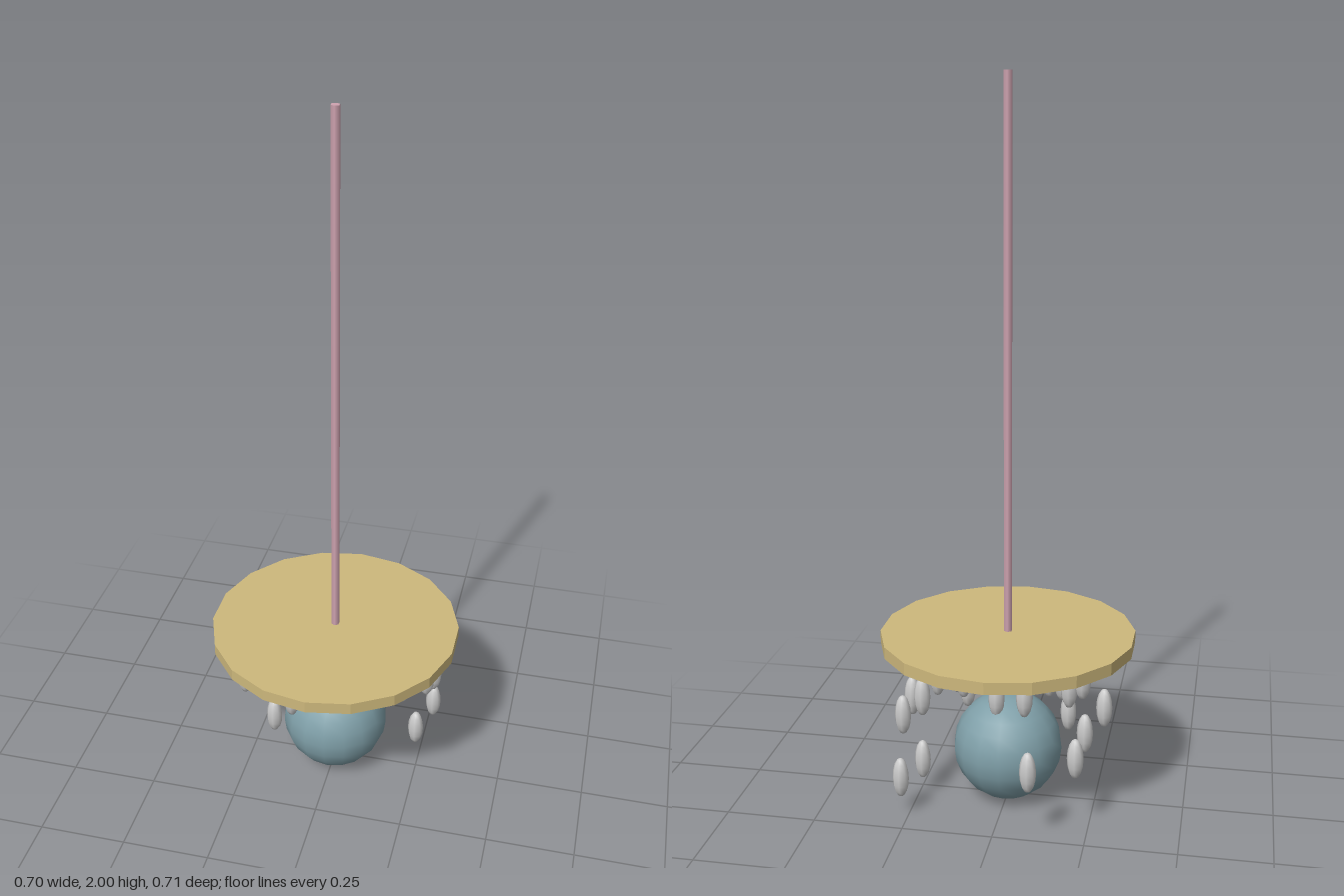
import * as THREE from 'three';

export function createModel() {
  const model = new THREE.Group();
  const material = (color, flatShading = false) => new THREE.MeshStandardMaterial({ color, flatShading });

  function add(name, geometry, mat, x, y, z, parent = model) {
    const mesh = new THREE.Mesh(geometry, mat);
    mesh.name = name;
    mesh.position.set(x, y, z);
    parent.add(mesh);
    return mesh;
  }

  // Hanging rod with the thin cable below it
  const pink = material(0xcfa3b0);
  add('rod', new THREE.CylinderGeometry(0.012, 0.012, 1.55, 6), pink, 0, 1.225, 0);
  add('cable', new THREE.CylinderGeometry(0.005, 0.005, 0.17, 6), pink, 0, 0.375, 0);

  // Canopy disc
  add('canopy', new THREE.CylinderGeometry(0.355, 0.355, 0.034, 18), material(0xcdb87c, true), 0, 0.481, 0);

  // Globe
  add('globe', new THREE.SphereGeometry(0.154, 16, 12), material(0x7f9fa8), 0, 0.154, 0);

  // Drop pendants scattered around the globe: x, y, z of each centre
  const drops = [
    [-0.23, 0.44, -0.16], [-0.195, 0.415, -0.165], [-0.08, 0.394, -0.2], [-0.016, 0.394, 0.042],
    [0.1, 0.404, -0.127], [0.12, 0.404, -0.1], [0.02, 0.325, -0.07], [0.06, 0.31, 0.097],
    [0.11, 0.33, -0.026], [0.21, 0.33, 0.03], [0.222, 0.33, -0.106], [0.265, 0.302, -0.048],
    [0.277, 0.272, -0.111], [0.238, 0.108, -0.048], [0.27, 0.114, -0.175], [-0.27, 0.272, 0.03],
    [-0.222, 0.214, -0.02], [-0.215, 0.214, -0.175], [-0.158, 0.214, 0.11], [-0.14, 0.315, 0.095],
    [-0.098, 0.304, 0.132], [-0.1, 0.209, -0.265],
  ];
  const pendants = new THREE.Group();
  pendants.name = 'pendants';
  model.add(pendants);
  const dropGeometry = new THREE.SphereGeometry(1, 8, 8).scale(0.023, 0.058, 0.023);
  const grey = material(0xcccccc);
  for (const [x, y, z] of drops) add('pendant', dropGeometry, grey, x, y, z, pendants);

  return model;
}
